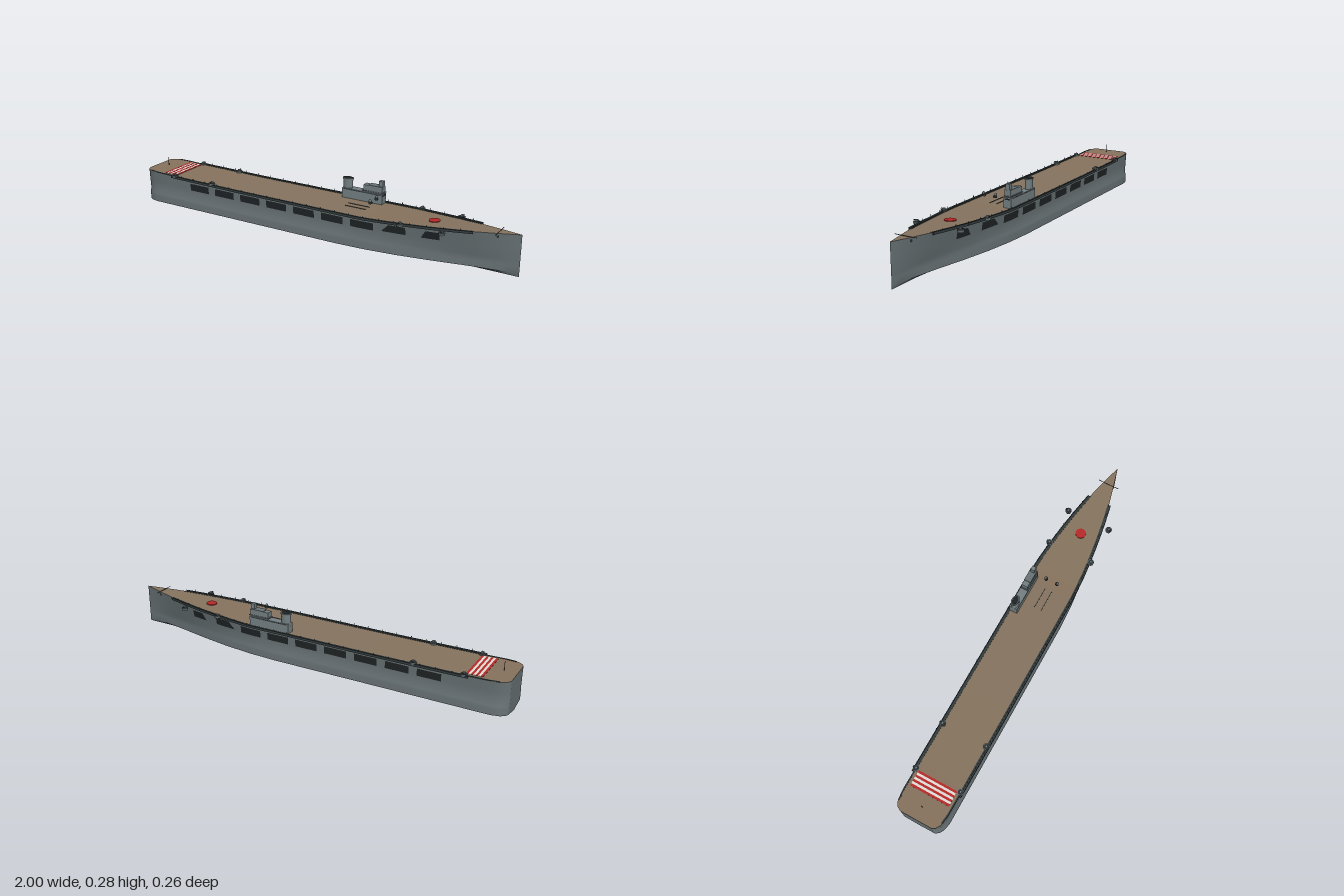
import * as THREE from 'three';
import { toCreasedNormals } from 'three/addons/utils/BufferGeometryUtils.js';

const mat = (name, color, side = THREE.FrontSide) => {
  const m = new THREE.MeshStandardMaterial({ color, side });
  m.name = name;
  return m;
};

// Linear interpolation in a table of [x, value] pairs
const curve = (pts) => (x) => {
  let i = 1;
  while (i < pts.length - 1 && x > pts[i][0]) i++;
  const [a, b] = [pts[i - 1], pts[i]];
  return THREE.MathUtils.lerp(a[1], b[1], THREE.MathUtils.clamp((x - a[0]) / (b[0] - a[0]), 0, 1));
};

// Hull lines along x: half width at deck, half width at bilge, deck height
const deckW = curve([[-1, 0.08], [-0.99, 0.098], [-0.97, 0.111], [-0.93, 0.118], [0.28, 0.118], [0.4, 0.111],
  [0.5, 0.101], [0.6, 0.088], [0.7, 0.072], [0.8, 0.053], [0.9, 0.028], [1, 0.0005]]);
const bilgeW = curve([[-1, 0.08], [-0.99, 0.098], [-0.97, 0.111], [-0.93, 0.12], [0.15, 0.12], [0.3, 0.113],
  [0.45, 0.096], [0.6, 0.07], [0.75, 0.039], [0.88, 0.015], [1, 0.0005]]);
const deckY = curve([[-1, 0.178], [-0.8, 0.173], [-0.4, 0.169], [0.3, 0.169], [0.6, 0.179], [0.8, 0.188], [1, 0.197]]);
const WAIST = 0.075;
const waistW = (x) => (bilgeW(x) * 0.75 + deckW(x) * 0.25) * 0.945;
const sideZ = (x, y) => THREE.MathUtils.lerp(waistW(x), deckW(x), (y - WAIST) / (deckY(x) - WAIST));

// Skin over rows of points
function skin(rows, crease = 0.6) {
  const cols = rows[0].length, index = [];
  for (let i = 0; i < rows.length - 1; i++) {
    for (let j = 0; j < cols - 1; j++) {
      const a = i * cols + j, b = a + 1, c = a + cols, d = c + 1;
      index.push(a, b, c, b, d, c);
    }
  }
  const g = new THREE.BufferGeometry();
  g.setAttribute('position', new THREE.Float32BufferAttribute(rows.flat(2), 3));
  g.setIndex(index);
  return toCreasedNormals(g, crease);
}

const range = (a, b, n) => Array.from({ length: n + 1 }, (_, i) => a + ((b - a) * i) / n);

export function createModel() {
  const ship = new THREE.Group();
  ship.name = 'carrierShip';
  const grey = mat('hullGrey', 0x697376);
  const lightGrey = mat('islandGrey', 0x758083);
  const tan = mat('deckTan', 0x87745f);
  const dark = mat('fittingsDark', 0x343c3d, THREE.DoubleSide);
  const black = mat('openingBlack', 0x202426, THREE.DoubleSide);
  const red = mat('markingRed', 0xb82a2a);
  const white = mat('markingWhite', 0xe4e0d8);

  const add = (name, geo, material, x = 0, y = 0, z = 0, parent = ship) => {
    const m = new THREE.Mesh(geo, material);
    m.name = name;
    m.position.set(x, y, z);
    parent.add(m);
    return m;
  };
  const box = (name, m, w, h, d, x, y, z, parent) => add(name, new THREE.BoxGeometry(w, h, d), m, x, y, z, parent);

  // Hull, flight deck and transom
  const stations = [-1, -0.99, -0.97, -0.95, ...range(-0.93, 0.1, 12), ...range(0.15, 1, 17)];
  const half = (x, s) => [
    [x, deckY(x), s * deckW(x)], [x, 0.125, s * sideZ(x, 0.125)], [x, WAIST, s * waistW(x)],
    [x, 0.058, s * bilgeW(x) * 0.99], [x, 0.045, s * bilgeW(x)], [x, 0.015, s * bilgeW(x)],
  ];
  add('hull', skin(stations.map((x) => [...half(x, 1), [x, 0.001, 0], ...half(x, -1).reverse()])), grey);
  add('flightDeck', skin(stations.map((x) => [-1, 0, 1].map((s) => [x, deckY(x), s * deckW(x)]))), tan);
  add('transom', skin([[...half(-1, -1), [-1, 0.001, 0]], [...half(-1, 1), [-1, 0.001, 0]]]), grey);

  // Side openings that follow the hull
  for (const s of [1, -1]) {
    for (let i = 0; i < 9; i++) {
      const x0 = i === 8 ? 0.57 : -0.7 + i * 0.155;
      const x1 = i === 8 ? 0.655 : x0 + 0.115;
      const rake = i === 7 ? 0.035 : i === 8 ? 0.022 : 0;
      const lift = i > 6 ? 0.006 : 0;
      const rows = range(0, 1, 6).map((t) => {
        const col = [0.152 + lift, 0.134 + lift, 0.116 + lift].map((y, k) => {
          const x = THREE.MathUtils.lerp(x0 + rake * (1 - k / 2), x1, t);
          return [x, y, s * (sideZ(x, y) + 0.0025)];
        });
        return s > 0 ? col : col.reverse();
      });
      add('hangarOpening', skin(rows), black);
    }

    // Catwalk along the deck edge, with support rail and posts
    const walk = (x0, x1, inner, outer, top, bottom) => skin(range(x0, x1, 36).map((x) => {
      const zs = [s * (deckW(x) + inner), s * (deckW(x) + outer)];
      const hi = Math.max(...zs), lo = Math.min(...zs), t = deckY(x) + top, b = deckY(x) + bottom;
      return [[x, t, hi], [x, b, hi], [x, b, lo], [x, t, lo], [x, t, hi]];
    }));
    add('catwalk', walk(-0.82, 0.8, -0.004, 0.01, -0.003, -0.008), dark);
    add('catwalkRail', walk(-0.82, 0.8, 0.008, 0.01, 0.004, -0.003), dark);
    add('deckEdgeStrip', walk(-0.96, 0.8, -0.006, 0.001, 0.0015, -0.003), dark);
    const post = new THREE.BoxGeometry(0.002, 0.016, 0.002);
    for (const x of range(-0.75, 0.75, 20)) add('railPost', post, dark, x, deckY(x) + 0.004, s * (deckW(x) + 0.009));

    // Gun tubs on the sponsons
    for (const [x, z] of [[-0.8, 0.115], [-0.565, 0.115], [0.48, 0.114], [0.68, 0.112]]) {
      const gun = new THREE.Group();
      gun.name = 'gunTub';
      gun.position.set(x, 0.173, s * z);
      ship.add(gun);
      add('tub', new THREE.CylinderGeometry(0.016, 0.014, 0.012, 12), grey, 0, 0, 0, gun);
      add('tubFloor', new THREE.CylinderGeometry(0.013, 0.013, 0.001, 12), dark, 0, 0.0065, 0, gun);
      box('mount', lightGrey, 0.012, 0.008, 0.01, 0, 0.01, 0, gun);
      for (const dx of [-0.003, 0.003]) box('barrel', dark, 0.002, 0.002, 0.016, dx, 0.011, s * 0.008, gun);
    }

    // Directors, guide tracks and bow anchors
    add('directorBase', new THREE.CylinderGeometry(0.009, 0.009, 0.008, 10), dark, 0.285, 0.212, s * 0.029);
    add('directorHead', new THREE.SphereGeometry(0.007, 10, 8), grey, 0.285, 0.222, s * 0.032);
    box('guideTrack', dark, 0.11, 0.002, 0.003, 0.2, 0.17, s * 0.018);
    box('anchor', dark, 0.008, 0.01, 0.004, 0.9, 0.178, s * 0.027);
  }

  // Stern landing stripes
  for (let i = 0; i < 7; i++) {
    const x = -0.875 + i * 0.011;
    box('landingStripe', i % 2 ? white : red, 0.011, 0.002, 0.2, x, deckY(x) + 0.0006, 0);
  }

  // Round bow marking
  const disc = add('bowDisc', new THREE.CylinderGeometry(0.026, 0.026, 0.004, 20), red, 0.595, deckY(0.595) + 0.0015, 0);
  disc.rotation.z = 0.04;

  // Island superstructure
  const island = new THREE.Group();
  island.name = 'island';
  island.position.set(0, 0.165, -0.096);
  ship.add(island);
  box('islandBase', lightGrey, 0.215, 0.05, 0.04, 0.182, 0.027, 0, island);
  box('bridgeDeck', grey, 0.11, 0.004, 0.036, 0.238, 0.058, 0, island);
  box('bridgeNeck', lightGrey, 0.08, 0.012, 0.026, 0.245, 0.052, 0, island);
  box('bridge', lightGrey, 0.1, 0.026, 0.031, 0.238, 0.073, 0, island);
  box('bridgeTop', grey, 0.07, 0.004, 0.034, 0.25, 0.087, 0, island);
  box('controlTower', lightGrey, 0.021, 0.03, 0.02, 0.277, 0.1, 0, island);
  box('bridgeWindows', black, 0.002, 0.006, 0.028, 0.29, 0.045, 0, island);
  for (const z of [-0.0203, 0.0203]) box('islandBand', dark, 0.2, 0.003, 0.001, 0.182, 0.048, z, island);

  // Funnel with cap
  const funnel = add('funnel', new THREE.CylinderGeometry(0.5, 0.5, 0.08, 20), lightGrey, 0.097, 0.06, 0, island);
  funnel.scale.set(0.05, 1, 0.032);
  const rim = add('funnelRim', new THREE.CylinderGeometry(0.5, 0.5, 0.006, 20), grey, 0.097, 0.098, 0, island);
  rim.scale.set(0.056, 1, 0.036);
  const mouth = add('funnelMouth', new THREE.CylinderGeometry(0.5, 0.5, 0.002, 20), black, 0.097, 0.101, 0, island);
  mouth.scale.set(0.046, 1, 0.027);

  // Flagstaff and crossbar
  box('sternStaff', dark, 0.002, 0.045, 0.002, -0.94, 0.2, 0);
  box('bowBar', dark, 0.002, 0.002, 0.11, 0.9, deckY(0.9) + 0.001, 0);
  return ship;
}
